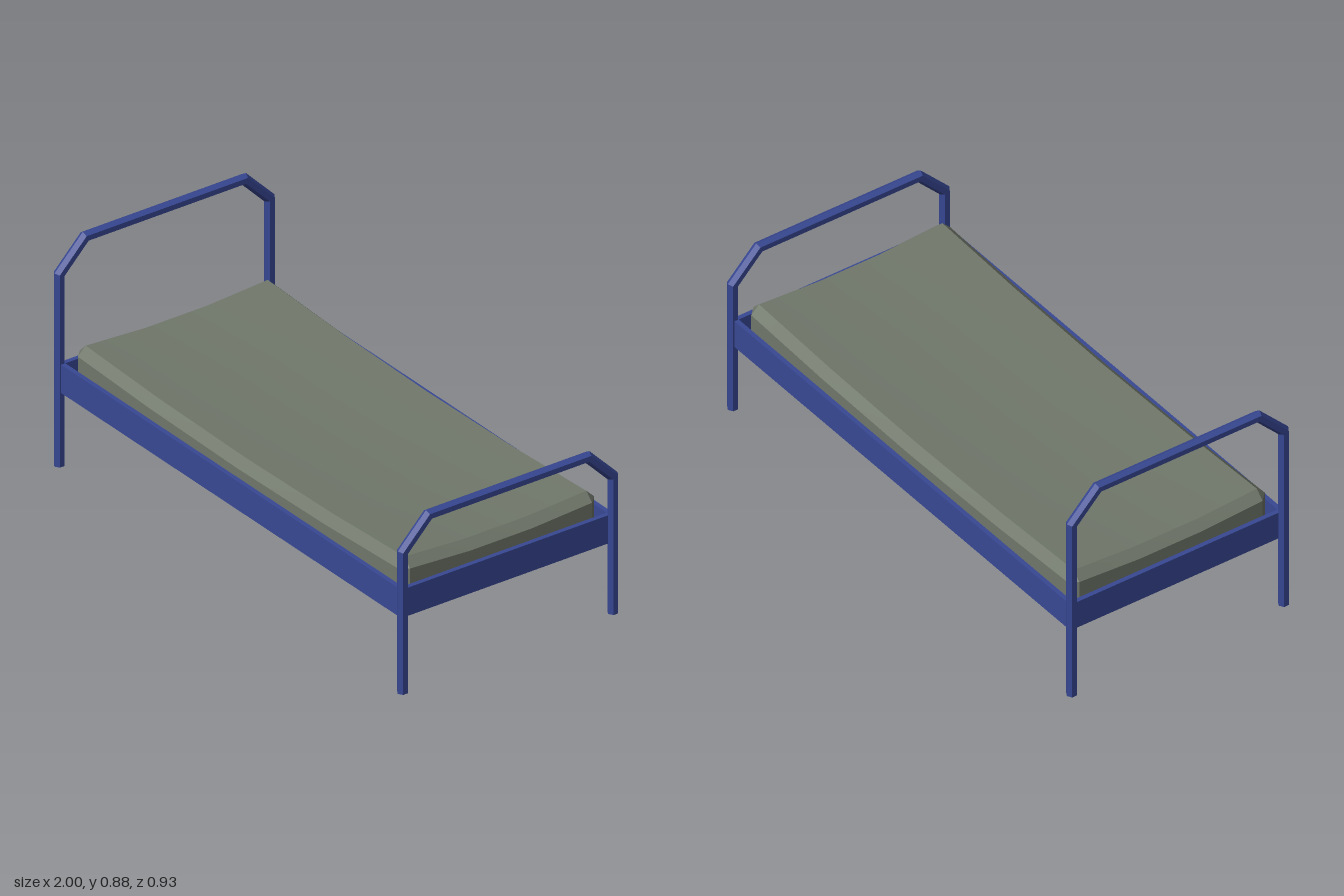
import * as THREE from 'three';
import { toCreasedNormals } from 'three/addons/utils/BufferGeometryUtils.js';

const blue = new THREE.MeshStandardMaterial({ color: 0x384894 });
blue.name = 'blue painted steel';
const grey = new THREE.MeshStandardMaterial({ color: 0x70776a });
grey.name = 'grey green fabric';

const R = 0.02, SIDES = 6;

// Six-sided tube with mitred bends along a path of [z, y] points
function mitredTube(path) {
  const pts = path.map(([z, y]) => new THREE.Vector2(z, y));
  const pos = [], idx = [];
  pts.forEach((p, i) => {
    const before = i > 0 ? p.clone().sub(pts[i - 1]).normalize() : null;
    const after = i < pts.length - 1 ? pts[i + 1].clone().sub(p).normalize() : null;
    const d = (before || after).clone().add(after || before).normalize();
    const stretch = 1 / d.dot(after || before);
    for (let k = 0; k < SIDES; k++) {
      const t = (k / SIDES) * Math.PI * 2;
      const across = R * Math.cos(t) * stretch;
      pos.push(R * Math.sin(t), p.y + d.x * across, p.x - d.y * across);
    }
  });
  for (let i = 0; i < pts.length - 1; i++) {
    for (let k = 0; k < SIDES; k++) {
      const a = i * SIDES + k, b = i * SIDES + (k + 1) % SIDES;
      idx.push(a, a + SIDES, b, b, a + SIDES, b + SIDES);
    }
  }
  // End caps
  const last = (pts.length - 1) * SIDES;
  for (let k = 1; k < SIDES - 1; k++) {
    idx.push(0, k, k + 1, last, last + k + 1, last + k);
  }
  // Make sure the faces point outward
  const g = new THREE.BufferGeometry();
  g.setAttribute('position', new THREE.Float32BufferAttribute(pos, 3));
  const v = (n) => new THREE.Vector3().fromArray(pos, n * 3);
  const n = v(idx[1]).sub(v(idx[0])).cross(v(idx[2]).sub(v(idx[0])));
  const centre = new THREE.Vector3(0, pts[0].y, pts[0].x);
  const out = v(idx[0]).add(v(idx[2])).multiplyScalar(0.5).sub(centre);
  if (n.dot(out) < 0) idx.reverse();
  g.setIndex(idx);
  const flat = g.toNonIndexed();
  flat.computeVertexNormals();
  return flat;
}

// Legs and top bar bent from a single tube
function endFrame(name, x, top) {
  const mesh = new THREE.Mesh(mitredTube([
    [0.445, 0], [0.445, top - 0.13], [0.337, top - 0.02],
    [-0.337, top - 0.02], [-0.445, top - 0.13], [-0.445, 0.015],
  ]), blue);
  mesh.name = name;
  mesh.position.x = x;
  return mesh;
}

function box(name, w, h, d, x, y, z) {
  const mesh = new THREE.Mesh(new THREE.BoxGeometry(w, h, d), blue);
  mesh.name = name;
  mesh.position.set(x, y, z);
  return mesh;
}

// Sagging mattress with bevelled edges and clipped corners
function mattress() {
  const xs = [-0.945, -0.912, -0.5, 0, 0.5, 0.912, 0.945];
  const zs = [-0.418, -0.385, -0.13, 0.13, 0.385, 0.418];
  const g = new THREE.BoxGeometry(1, 1, 1, xs.length - 1, 1, zs.length - 1);
  const p = g.attributes.position;
  for (let n = 0; n < p.count; n++) {
    const i = Math.round((p.getX(n) + 0.5) * (xs.length - 1));
    const j = Math.round((p.getZ(n) + 0.5) * (zs.length - 1));
    const endX = i === 0 || i === xs.length - 1;
    const endZ = j === 0 || j === zs.length - 1;
    let x = xs[i], z = zs[j];
    if (endX && endZ) {
      x -= Math.sign(x) * 0.0165;
      z -= Math.sign(z) * 0.0165;
    }
    const u = Math.min(1, Math.abs(x) / 0.912), v = Math.min(1, Math.abs(z) / 0.385);
    const sag = 0.024 * (1 - u * u) + 0.017 * (1 - v * v);
    const top = (endX || endZ ? 0.445 : 0.477) - sag;
    p.setXYZ(n, x, p.getY(n) > 0 ? top : 0.32, z);
  }
  const mesh = new THREE.Mesh(toCreasedNormals(g, 0.4), grey);
  mesh.name = 'mattress';
  return mesh;
}

export function createModel() {
  const bed = new THREE.Group();
  bed.name = 'bed';
  bed.add(endFrame('headFrame', -0.9827, 0.875), endFrame('footFrame', 0.9827, 0.677));

  // Rails around the bed base
  for (const s of [1, -1]) {
    bed.add(box(s > 0 ? 'frontRail' : 'backRail', 1.95, 0.11, 0.018, 0, 0.345, s * 0.441));
    bed.add(box(s > 0 ? 'footRail' : 'headRail', 0.018, 0.11, 0.88, s * 0.974, 0.345, 0));
  }
  // Board under the mattress, set in above the rail bottoms
  bed.add(box('baseBoard', 1.94, 0.012, 0.87, 0, 0.318, 0));
  bed.add(mattress());
  return bed;
}
